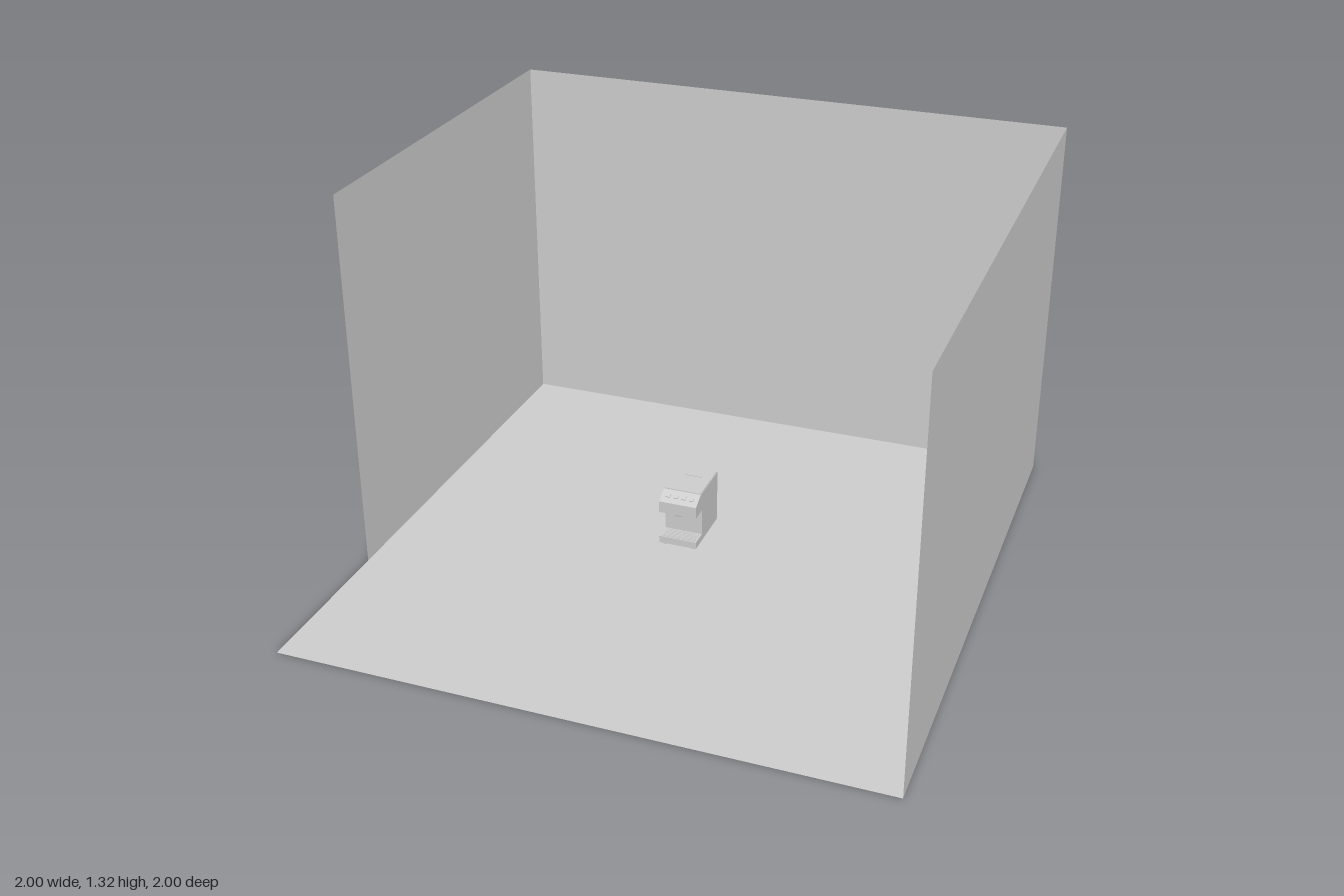
import * as THREE from 'three';

const grey = new THREE.MeshStandardMaterial({ color: 0xcccccc, flatShading: true });
const sheet = new THREE.MeshStandardMaterial({ color: 0xcccccc, side: THREE.DoubleSide });

function add(parent, name, geometry, x, y, z, material = grey) {
  const mesh = new THREE.Mesh(geometry, material);
  mesh.name = name;
  mesh.position.set(x, y, z);
  parent.add(mesh);
  return mesh;
}
const box = (w, h, d) => new THREE.BoxGeometry(w, h, d);

// Open room: floor, back wall, one full and one shorter side wall
function createRoom() {
  const room = new THREE.Group();
  room.name = 'room';
  const H = 1.316, shortEnd = 0.43;
  add(room, 'floor', new THREE.PlaneGeometry(2, 2).rotateX(-Math.PI / 2), 0, 0, 0, sheet);
  add(room, 'backWall', new THREE.PlaneGeometry(2, H), 0, H / 2, -1, sheet);
  const side = (len) => new THREE.PlaneGeometry(len, H).rotateY(-Math.PI / 2);
  add(room, 'leftWall', side(2), 1, H / 2, 0, sheet);
  add(room, 'rightWall', side(1 + shortEnd), -1, H / 2, (shortEnd - 1) / 2, sheet);
  return room;
}

// Small coffee machine, standing in local coordinates centred on x
function createCoffeeMachine() {
  const machine = new THREE.Group();
  machine.name = 'coffeeMachine';
  const W = 0.134, back = -0.225, front = -0.007;

  // Side profile (z, y): base, recess, overhanging head with a sloping panel
  const profile = new THREE.Shape([
    [back, 0.01], [front, 0.01], [front, 0.035], [-0.068, 0.035], [-0.068, 0.13],
    [front, 0.13], [front, 0.172], [-0.055, 0.197], [back, 0.197],
  ].map(([z, y]) => new THREE.Vector2(z, y)));
  const body = new THREE.ExtrudeGeometry(profile, { depth: W, bevelEnabled: false });
  add(machine, 'body', body.rotateY(-Math.PI / 2), W / 2, 0, 0);

  // Top cover with a lid grip
  add(machine, 'topCover', box(W - 0.004, 0.004, 0.166), 0, 0.198, -0.14);
  add(machine, 'lidGrip', box(0.06, 0.003, 0.005), 0, 0.201, -0.165);

  // Buttons along the sloping panel
  const slope = Math.atan2(0.025, 0.048);
  for (let i = 0; i < 4; i++) {
    const button = add(machine, 'button', box(0.015, 0.004, 0.012), -0.042 + i * 0.028, 0.186, -0.031);
    button.rotation.x = slope;
  }

  // Brewing head, portafilter handle, spouts and steam wand under the overhang
  add(machine, 'brewHead', new THREE.CylinderGeometry(0.025, 0.022, 0.01, 16), 0, 0.125, -0.038);
  for (const x of [-0.008, 0.008]) {
    add(machine, 'spout', new THREE.CylinderGeometry(0.004, 0.003, 0.01, 8), x, 0.117, -0.038);
  }
  add(machine, 'steamWand', new THREE.CylinderGeometry(0.003, 0.003, 0.018, 8), -0.049, 0.121, -0.03);

  // Drip tray with slats
  add(machine, 'dripTray', box(W - 0.016, 0.002, 0.05), 0, 0.036, -0.037);
  for (let i = 0; i < 6; i++) {
    add(machine, 'traySlat', box(W - 0.024, 0.002, 0.003), 0, 0.0375, -0.057 + i * 0.008);
  }

  // Feet
  for (const x of [-0.05, 0.05]) for (const z of [back + 0.02, front - 0.02]) {
    add(machine, 'foot', new THREE.CylinderGeometry(0.009, 0.009, 0.01, 12), x, 0.005, z);
  }
  machine.position.x = -0.043;
  return machine;
}

export function createModel() {
  const model = new THREE.Group();
  model.name = 'roomWithCoffeeMachine';
  model.add(createRoom(), createCoffeeMachine());
  return model;
}
